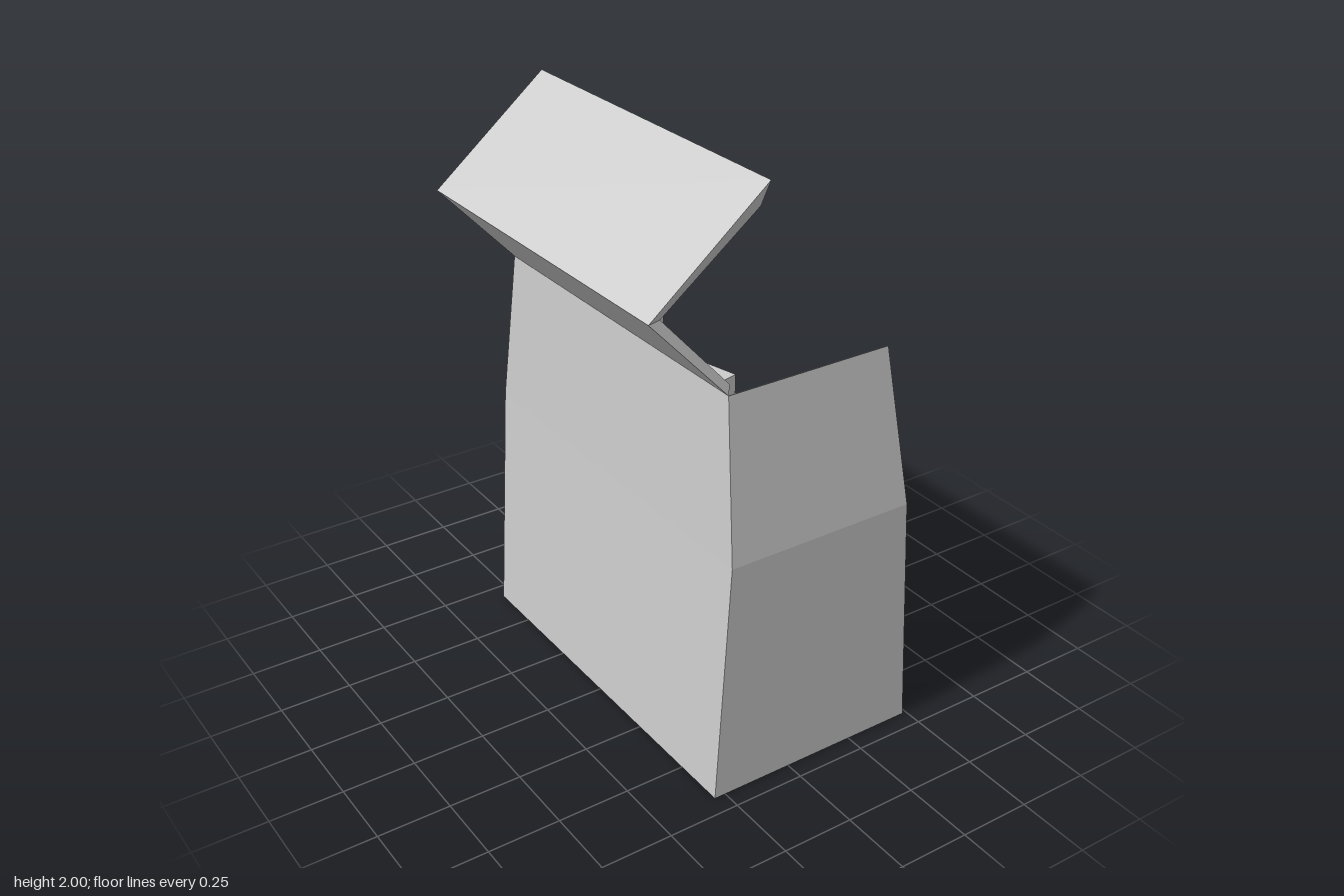
import * as THREE from 'three';
import { ConvexGeometry } from 'three/addons/geometries/ConvexGeometry.js';

const material = new THREE.MeshStandardMaterial({ color: 0xcccccc, flatShading: true });

function part(name, geometry) {
  const mesh = new THREE.Mesh(geometry, material);
  mesh.name = name;
  return mesh;
}

// Flat-shaded geometry from four-cornered faces
function fromQuads(quads) {
  const pos = [];
  for (const [a, b, c, d] of quads) pos.push(...a, ...b, ...c, ...a, ...c, ...d);
  const g = new THREE.BufferGeometry();
  g.setAttribute('position', new THREE.Float32BufferAttribute(pos, 3));
  g.computeVertexNormals();
  return g;
}

// Rectangular cross-section, counter-clockwise seen from above
const rect = (x0, x1, y, z0, z1) => [[x0, y, z1], [x1, y, z1], [x1, y, z0], [x0, y, z0]];

// Faces joining two four-cornered rings on the chosen sides
function band(lower, upper, sides = [0, 1, 2, 3]) {
  return sides.map((i) => {
    const j = (i + 1) % 4;
    return [lower[i], lower[j], upper[j], upper[i]];
  });
}

// Closed loft through four-cornered rings
function loft(rings) {
  const quads = [[...rings[0]].reverse(), rings[rings.length - 1]];
  for (let k = 0; k + 1 < rings.length; k++) quads.push(...band(rings[k], rings[k + 1]));
  return fromQuads(quads);
}

const hull = (points) => new ConvexGeometry(points.map((p) => new THREE.Vector3(...p)));

// Hollow chest with a low wall on the +x side
function chestBody() {
  const base = rect(-0.29, 0.485, 0, -0.685, 0.685);
  const outMid = rect(-0.24, 0.435, 0.84, -0.685, 0.685);
  const outTop = rect(-0.215, 0.375, 1.38, -0.617, 0.617);
  const inTop = rect(-0.17, 0.34, 1.345, -0.56, 0.56);
  const inMid = rect(-0.19, 0.39, 0.855, -0.62, 0.62);
  const floor = rect(-0.2, 0.4, 0.65, -0.62, 0.62);
  const tall = [0, 2, 3];
  return fromQuads([
    [...base].reverse(),
    ...band(base, outMid),
    ...band(outMid, outTop, tall),
    ...band(outTop, inTop, tall),
    ...band(inTop, inMid, tall),
    ...band(outMid, inMid, [1]), // low lip
    ...band(inMid, floor),
    floor,
    // Front edges of the tall side walls
    [outMid[1], inMid[1], inTop[1], outTop[1]],
    [outTop[2], inTop[2], inMid[2], outMid[2]],
  ]);
}

// Folded lid with bevelled ends: outer and inner profile points in x, y
function lid() {
  const outer = [[-0.215, 1.38], [-0.485, 1.67], [-0.085, 2.0]];
  const inner = [[-0.17, 1.38], [-0.41, 1.645], [-0.075, 1.905]];
  return loft(outer.map((o, k) => [
    [...o, 0.617], [...inner[k], 0.56], [...inner[k], -0.56], [...o, -0.617],
  ]));
}

// Square jar with sloping shoulders and a cap
function jar(cx, cz) {
  const rings = [[0.105, 0.65], [0.105, 0.74], [0.075, 0.79], [0.075, 0.83], [0.06, 0.845]];
  return loft(rings.map(([r, y]) => rect(cx - r, cx + r, y, cz - r * 0.88, cz + r * 0.88)));
}

// Faceted container lying along x
function lyingCan(radius, length, x, z) {
  const g = new THREE.CylinderGeometry(radius * 0.92, radius, length, 8);
  g.rotateZ(-Math.PI / 2);
  g.translate(x, 0.65 + radius, z);
  return g;
}

function tiltedBlock(name, size, position, rotation) {
  const mesh = part(name, new THREE.BoxGeometry(...size));
  mesh.position.set(...position);
  mesh.rotation.set(...rotation);
  return mesh;
}

export function createModel() {
  const model = new THREE.Group();
  model.name = 'openChest';
  model.add(part('chestBody', chestBody()), part('lid', lid()));

  const contents = new THREE.Group();
  contents.name = 'contents';
  model.add(contents);

  // Raised step in the floor carrying a turned box
  contents.add(part('floorStep', loft([
    rect(-0.19, 0.39, 0.65, -0.365, -0.055), rect(-0.19, 0.39, 0.72, -0.365, -0.07),
  ])));
  contents.add(tiltedBlock('largeBox', [0.515, 0.26, 0.247], [0.075, 0.85, -0.183], [0, 0.247, 0]));

  // Jars
  for (const x of [-0.03, 0.21]) contents.add(part('jar', jar(x, -0.478)));

  // Lying cans
  contents.add(part('wideCan', lyingCan(0.105, 0.52, 0.11, 0.465)));
  contents.add(part('narrowCan', lyingCan(0.075, 0.52, 0.11, 0.3)));

  // Rough lumps
  contents.add(part('leftLump', hull([
    [-0.02, 0.8, -0.03], [0.04, 0.77, 0], [0.1, 0.74, 0.13], [0.1, 0.74, 0.24], [0.03, 0.74, 0.26],
    [-0.02, 0.86, 0.22], [-0.06, 0.66, 0.05], [0.04, 0.66, 0.05], [0.05, 0.66, 0.22],
  ])));
  contents.add(part('rightLump', hull([
    [0.14, 0.85, 0.035], [0.33, 0.8, 0.12], [0.33, 0.78, 0.17], [0.28, 0.8, 0.2], [0.1, 0.8, 0.25],
    [0.2, 0.92, 0.16], [0.16, 0.66, 0.06], [0.29, 0.66, 0.14], [0.13, 0.66, 0.22],
  ])));

  // Small tumbled blocks
  contents.add(tiltedBlock('rightBlock', [0.125, 0.1, 0.12], [0.255, 0.9, 0.255], [0.25, -0.35, 0.1]));
  contents.add(tiltedBlock('leftBlock', [0.11, 0.11, 0.11], [0, 0.92, 0.31], [0.55, -0.7, 0.25]));

  return model;
}
